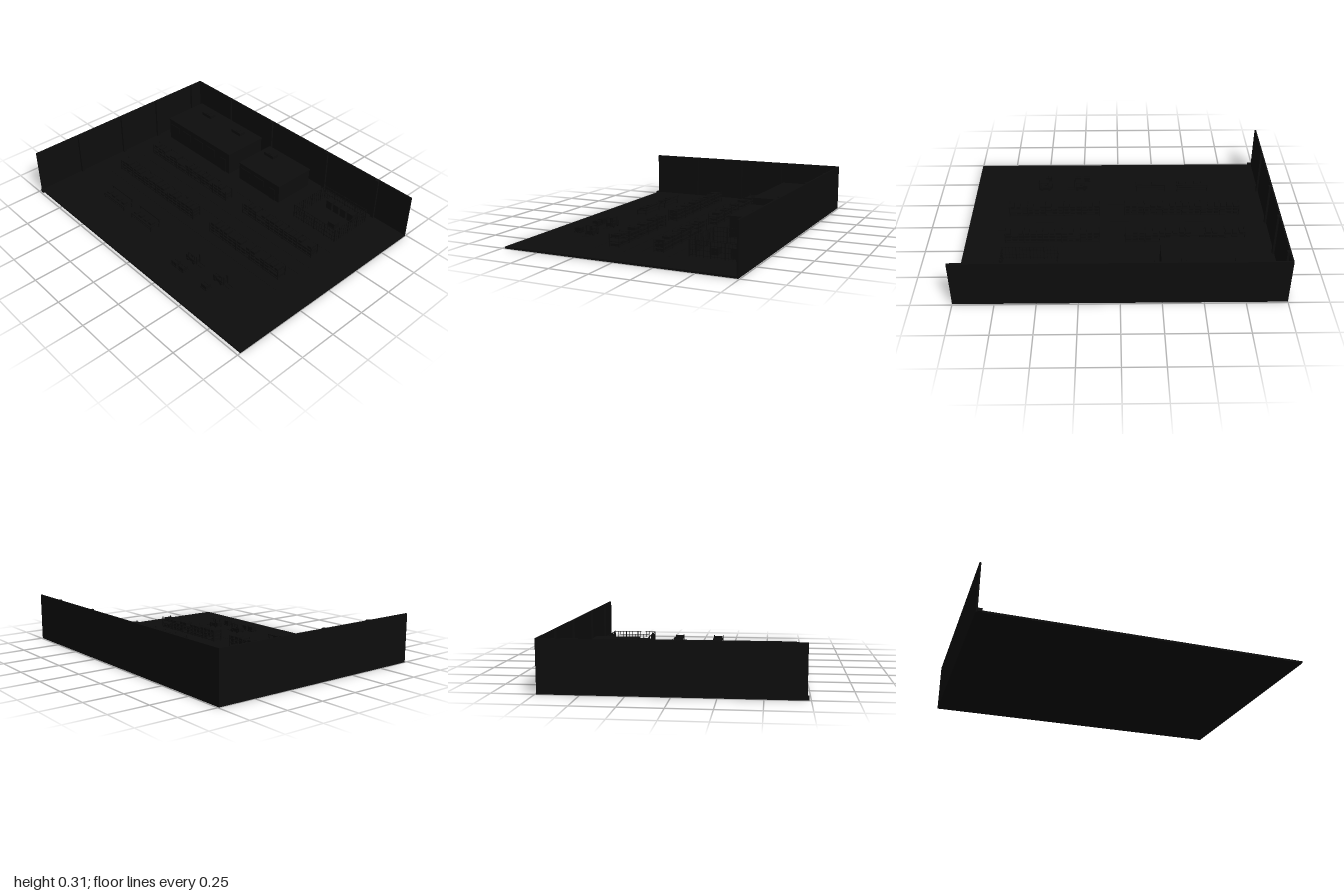
import * as THREE from 'three';

const dark = new THREE.MeshStandardMaterial({ color: 0x0d0d0d });
const FLOOR = 0.012;

// Box given by its extents
function box(parent, name, x0, x1, y0, y1, z0, z1) {
  const mesh = new THREE.Mesh(new THREE.BoxGeometry(x1 - x0, y1 - y0, z1 - z0), dark);
  mesh.position.set((x0 + x1) / 2, (y0 + y1) / 2, (z0 + z1) / 2);
  mesh.name = name;
  parent.add(mesh);
  return mesh;
}

function group(parent, name, x = 0, y = FLOOR, z = 0) {
  const g = new THREE.Group();
  g.name = name;
  g.position.set(x, y, z);
  parent.add(g);
  return g;
}

function seeded(seed) {
  return () => (seed = (seed * 16807) % 2147483647) / 2147483647;
}

// Enclosed room with roof trim, door, windows and rooftop units
function room(parent, name, x0, x1, z0, z1, h, units) {
  const g = group(parent, name);
  box(g, 'roomBody', x0 + 0.004, x1 - 0.004, 0, h - 0.008, z0 + 0.004, z1 - 0.004);
  box(g, 'roomRoof', x0, x1, h - 0.008, h, z0, z1);
  const n = Math.round((x1 - x0) / 0.13);
  for (let i = 0; i < n; i++) {
    const x = x0 + (x1 - x0) * (i + 0.5) / n;
    if (i === n - 1) box(g, 'roomDoor', x - 0.025, x + 0.025, 0, h * 0.62, z1 - 0.004, z1);
    else box(g, 'roomWindow', x - 0.045, x + 0.045, h * 0.4, h * 0.75, z1 - 0.004, z1);
  }
  for (const x of units) {
    box(g, 'rooftopUnit', x - 0.045, x + 0.045, h, h + 0.022, -0.62, -0.57);
    const fan = new THREE.Mesh(new THREE.CylinderGeometry(0.018, 0.018, 0.004, 16), dark);
    fan.position.set(x, h + 0.024, -0.595);
    fan.name = 'rooftopFan';
    g.add(fan);
  }
}

// Run of shelving bays filled with cartons
function rack(parent, x0, x1, z0, z1, seed) {
  const g = group(parent, 'storageRack'), rnd = seeded(seed);
  const bays = Math.round((x1 - x0) / 0.13), w = (x1 - x0) / bays, h = 0.078;
  for (let i = 0; i <= bays; i++) {
    const x = x0 + i * w;
    for (const z of [z0, z1 - 0.005]) box(g, 'rackPost', x - 0.003, x + 0.003, 0, h, z, z + 0.005);
  }
  for (const y of [0.006, 0.03, 0.054]) {
    box(g, 'rackShelf', x0, x1, y, y + 0.004, z0, z1);
    for (let i = 0; i < bays * 3; i++) {
      const x = x0 + (i + 0.5) * w / 3, r = 0.012 + rnd() * 0.006;
      if (rnd() > 0.15) box(g, 'carton', x - r, x + r, y + 0.004, y + 0.013 + rnd() * 0.009, z0 + 0.008, z1 - 0.008);
    }
  }
}

// Fenced compound with posts, bars and stored goods
function cage(parent, x0, x1, z0, z1, h) {
  const g = group(parent, 'fencedCage');
  const side = (ax, az, bx, bz) => {
    const n = Math.round(Math.hypot(bx - ax, bz - az) / 0.022);
    for (let i = 0; i < n; i++) {
      const x = ax + (bx - ax) * i / n, z = az + (bz - az) * i / n, r = i % 4 ? 0.0012 : 0.003;
      box(g, 'fenceBar', x - r, x + r, 0, h, z - r, z + r);
    }
    for (const y of [0.01, 0.04, 0.07, h - 0.004]) {
      box(g, 'fenceRail', Math.min(ax, bx) - 0.0015, Math.max(ax, bx) + 0.0015, y, y + 0.003,
        Math.min(az, bz) - 0.0015, Math.max(az, bz) + 0.0015);
    }
  };
  side(x0, z0, x1, z0);
  side(x1, z0, x1, z1);
  side(x1, z1, x0, z1);
  side(x0, z1, x0, z0);
  for (const x of [0.49, 0.55, 0.61, 0.67]) box(g, 'cageCrate', x - 0.022, x + 0.022, 0, 0.06, -0.62, -0.575);
  box(g, 'cageCrate', 0.605, 0.66, 0, 0.04, -0.485, -0.435);
}

// Packing bench with rear rail and parcels
function bench(parent, x0, x1) {
  const g = group(parent, 'packingBench');
  box(g, 'benchTop', x0, x1, 0.032, 0.037, 0.385, 0.46);
  box(g, 'benchShelf', x0, x1, 0.01, 0.013, 0.39, 0.455);
  for (const x of [x0, x1 - 0.006]) {
    for (const z of [0.387, 0.453]) box(g, 'benchLeg', x, x + 0.006, 0, 0.032, z, z + 0.006);
    box(g, 'benchUpright', x, x + 0.006, 0.037, 0.062, 0.38, 0.386);
  }
  box(g, 'benchRail', x0, x1, 0.056, 0.062, 0.376, 0.388);
  for (let i = 0; i < 4; i++) {
    const x = x0 + (x1 - x0) * (i + 0.5) / 4;
    box(g, 'parcel', x - 0.015, x + 0.015, 0.037, 0.047 + 0.004 * (i % 2), 0.41, 0.445);
  }
}

// Lift truck pointing along x
function liftTruck(parent, x, z) {
  const g = group(parent, 'liftTruck', x, FLOOR, z);
  box(g, 'truckBody', -0.05, 0.025, 0.008, 0.03, -0.025, 0.025);
  box(g, 'truckCounterweight', -0.06, -0.03, 0.01, 0.036, -0.023, 0.023);
  box(g, 'truckSeat', -0.025, -0.008, 0.03, 0.04, -0.01, 0.01);
  box(g, 'truckRoof', -0.04, 0.02, 0.06, 0.063, -0.022, 0.022);
  for (const s of [-1, 1]) {
    for (const px of [-0.038, 0.018]) box(g, 'cabPost', px - 0.002, px + 0.002, 0.03, 0.06, s * 0.02 - 0.002, s * 0.02 + 0.002);
    box(g, 'mast', 0.028, 0.033, 0.003, 0.065, s * 0.014 - 0.003, s * 0.014 + 0.003);
    box(g, 'fork', 0.033, 0.08, 0.003, 0.006, s * 0.012 - 0.003, s * 0.012 + 0.003);
    for (const wx of [-0.04, 0.012]) {
      const wheel = new THREE.Mesh(new THREE.CylinderGeometry(0.01, 0.01, 0.008, 16), dark);
      wheel.rotation.x = Math.PI / 2;
      wheel.position.set(wx, 0.01, s * 0.025);
      wheel.name = 'truckWheel';
      g.add(wheel);
    }
  }
}

// Slatted pallet with four cartons
function pallet(parent, x, z) {
  const g = group(parent, 'loadedPallet', x, FLOOR, z);
  for (const o of [-0.02, 0, 0.02]) box(g, 'palletBearer', -0.025, 0.025, 0, 0.006, o - 0.003, o + 0.003);
  for (let i = -2; i <= 2; i++) box(g, 'palletSlat', i * 0.011 - 0.004, i * 0.011 + 0.004, 0.006, 0.009, -0.025, 0.025);
  for (const a of [-0.011, 0.011]) for (const b of [-0.011, 0.011]) {
    box(g, 'palletCarton', a - 0.01, a + 0.01, 0.009, 0.034, b - 0.01, b + 0.01);
  }
}

export function createModel() {
  const model = new THREE.Group();
  model.name = 'warehouse';

  // Floor and two walls
  box(model, 'floor', -1, 1, 0, FLOOR, -0.74, 0.73);
  box(model, 'backWall', -1, 1, 0, 0.31, -0.742, -0.732);
  box(model, 'rightWall', -1, -0.99, 0, 0.31, -0.74, 0.73);

  // Wall columns
  for (const x of [-0.64, -0.21, 0.31, 0.74]) box(model, 'backColumn', x - 0.012, x + 0.012, FLOOR, 0.31, -0.732, -0.718);
  for (const z of [-0.645, -0.3, 0.02, 0.39]) box(model, 'rightColumn', -0.99, -0.976, FLOOR, 0.31, z - 0.012, z + 0.012);
  box(model, 'endFoot', -0.99, -0.965, 0, 0.02, 0.72, 0.74);

  // Aisle markings
  for (const z of [-0.25, -0.05, 0.04, 0.24]) box(model, 'aisleLine', -0.85, 0.8, FLOOR, FLOOR + 0.001, z - 0.004, z + 0.004);

  room(model, 'largeRoom', -0.906, -0.25, -0.676, -0.35, 0.165, [-0.735, -0.415]);
  room(model, 'smallRoom', -0.17, 0.22, -0.676, -0.37, 0.135, [-0.08]);
  cage(model, 0.39, 0.74, -0.65, -0.345, 0.1);

  [[-0.185, -0.12], [0.105, 0.175]].forEach(([z0, z1], i) => {
    rack(model, -0.815, -0.04, z0, z1, 11 + i);
    rack(model, 0.13, 0.74, z0, z1, 31 + i);
  });

  bench(model, -0.63, -0.415);
  bench(model, -0.33, -0.125);

  for (const x of [0.28, 0.53]) liftTruck(model, x, 0.43);
  for (const x of [0.225, 0.29, 0.5]) pallet(model, x, 0.535);
  return model;
}
